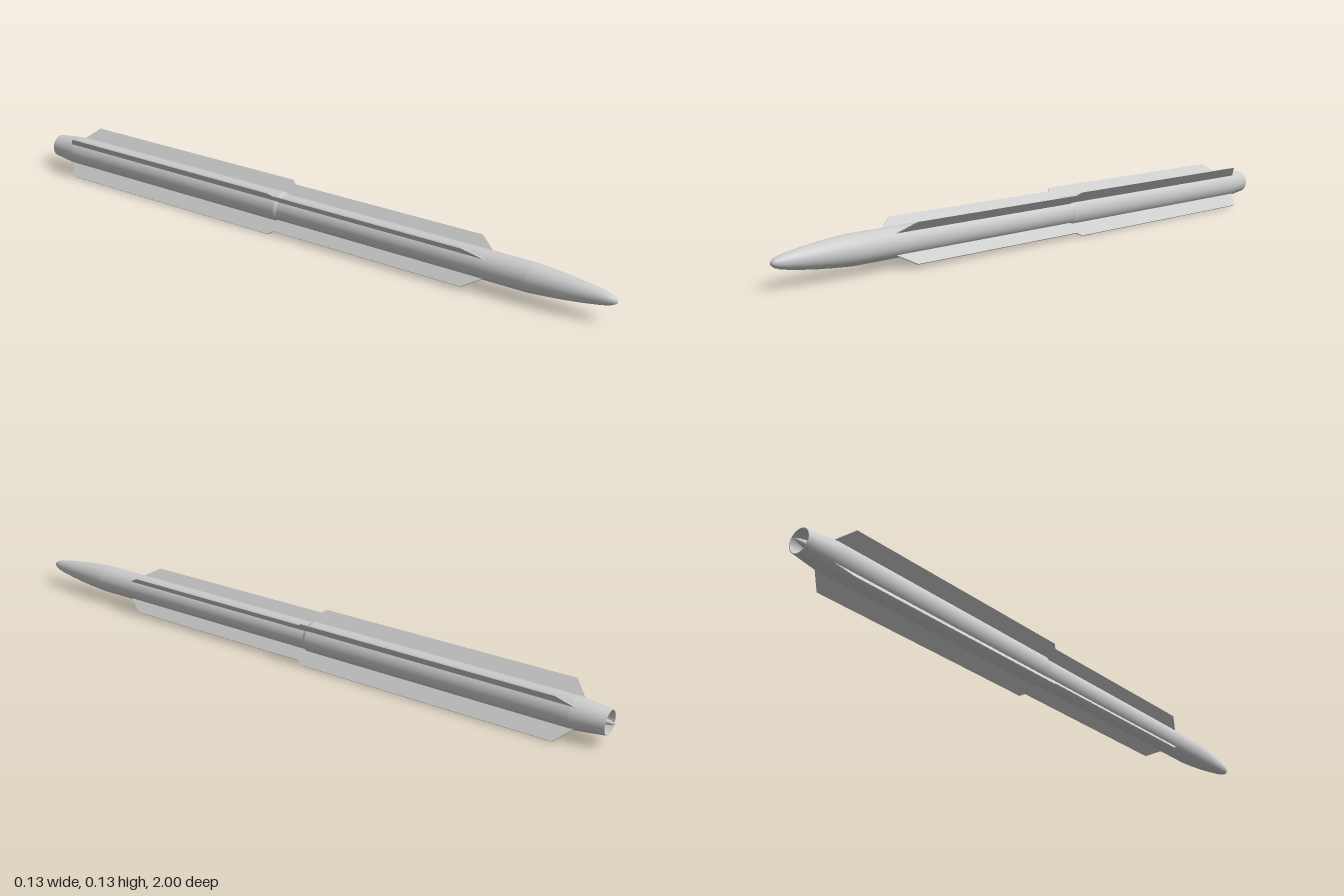
import * as THREE from 'three';

const AXIS_Y = 0.067; // height of the body axis
const material = new THREE.MeshStandardMaterial({ color: 0xcccccc });
const openMaterial = new THREE.MeshStandardMaterial({ color: 0xcccccc, side: THREE.DoubleSide });

// Revolves [radius, z] points, listed from tail to nose, about the z axis
function revolve(name, points, mat = material) {
  const group = new THREE.Group();
  group.name = name;
  // Separate lathes per run keep the edges between runs sharp
  for (const run of points) {
    const profile = run.map(([r, z]) => new THREE.Vector2(r, z));
    const geometry = new THREE.LatheGeometry(profile, 48).rotateX(Math.PI / 2);
    const mesh = new THREE.Mesh(geometry, mat);
    mesh.name = name + 'Surface';
    group.add(mesh);
  }
  return group;
}

// Flat fin from [radius, z] corners, lying in the x-z plane
function finGeometry(corners, thickness) {
  const shape = new THREE.Shape(corners.map(([r, z]) => new THREE.Vector2(r, z)));
  return new THREE.ExtrudeGeometry(shape, { depth: thickness, bevelEnabled: false })
    .translate(0, 0, -thickness / 2)
    .rotateX(Math.PI / 2);
}

export function createModel() {
  const model = new THREE.Group();
  model.name = 'missile';
  const body = new THREE.Group();
  body.name = 'airframe';
  body.position.y = AXIS_Y;
  model.add(body);

  // Pointed nose with a small rounded tip
  body.add(revolve('nose', [[
    [0.042, 0.76], [0.0385, 0.81], [0.034, 0.86], [0.028, 0.91], [0.021, 0.955],
    [0.017, 0.975], [0.012, 0.99], [0.006, 0.998], [0, 1],
  ]]));

  // Slim front tube, slightly wider rear tube and tapered boat tail
  body.add(revolve('fuselage', [
    [[0.042, -0.05], [0.042, 0.76]],
    [[0.046, -0.06], [0.042, -0.05]],
    [[0.046, -0.89], [0.046, -0.06]],
    [[0.035, -0.985], [0.041, -0.935], [0.046, -0.89]],
  ]));

  // Hollow exhaust with a central plug
  body.add(revolve('exhaust', [
    [[0.033, -0.985], [0.035, -0.985]],
    [[0.033, -0.985], [0.031, -0.92]],
    [[0.031, -0.92], [0, -0.92]],
  ], openMaterial));
  body.add(revolve('exhaustPlug', [[[0, -1], [0.006, -0.985], [0.018, -0.92]]], openMaterial));

  // Four long strakes in an X, each followed by a wider rear fin
  const strake = finGeometry([[0.03, 0.635], [0.042, 0.63], [0.08, 0.58], [0.08, -0.06], [0.03, -0.06]], 0.003);
  const rearFin = finGeometry([[0.03, -0.04], [0.08, -0.05], [0.0925, -0.065], [0.0925, -0.86], [0.046, -0.9], [0.03, -0.9]], 0.003);
  for (let i = 0; i < 4; i++) {
    const fin = new THREE.Group();
    fin.name = 'finSet' + (i + 1);
    fin.rotation.z = Math.PI / 4 + (i * Math.PI) / 2;
    const front = new THREE.Mesh(strake, material);
    front.name = 'strake';
    const rear = new THREE.Mesh(rearFin, material);
    rear.name = 'rearFin';
    fin.add(front, rear);
    body.add(fin);
  }
  return model;
}
